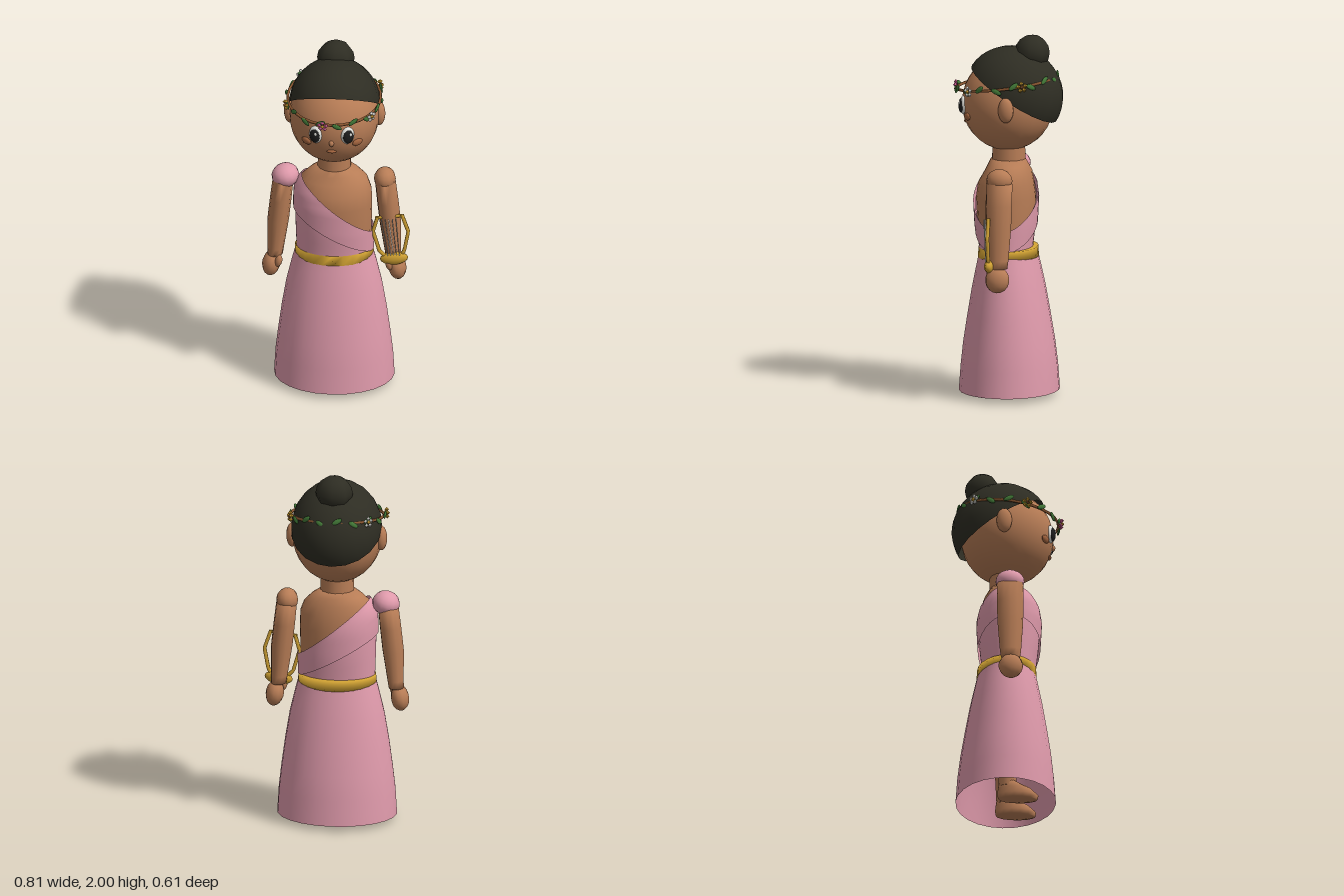
import * as THREE from 'three';

const mat = (name, color, side = THREE.FrontSide) => {
  const m = new THREE.MeshStandardMaterial({ color, side });
  m.name = name;
  return m;
};
const skin = mat('skin', 0xb87d56);
const hair = mat('hair', 0x2e2d23, THREE.DoubleSide);
const cloth = mat('rose cloth', 0xdf9aab, THREE.DoubleSide);
const gold = mat('gold', 0xd1a233);
const leafGreen = mat('leaf green', 0x437a38);
const vine = mat('vine brown', 0x8a5630);
const white = mat('white', 0xe6e6e0);
const petalPink = mat('petal pink', 0xd8609a);
const blush = mat('blush', 0xa4653f);
const pupil = mat('pupil black', 0x1d1d1d);

function add(parent, name, geometry, material, pos = [0, 0, 0], scale = [1, 1, 1], rot = [0, 0, 0]) {
  const m = new THREE.Mesh(geometry, material);
  m.name = name;
  m.position.set(...pos);
  m.scale.set(...scale);
  m.rotation.set(...rot);
  parent.add(m);
  return m;
}
const ball = (parent, name, material, pos, scale, rot, w = 14, h = 10) =>
  add(parent, name, new THREE.SphereGeometry(1, w, h), material, pos, scale, rot);

// Closed loops of points, joined from bottom to top
function grid(rows, seg, point, capped = false) {
  const pos = [], idx = [];
  for (let i = 0; i < rows; i++)
    for (let j = 0; j < seg; j++) pos.push(...point(i, (j / seg) * Math.PI * 2));
  for (let i = 0; i < rows - 1; i++)
    for (let j = 0; j < seg; j++) {
      const a = i * seg + j, b = i * seg + ((j + 1) % seg);
      idx.push(a, b, b + seg, a, b + seg, a + seg);
    }
  if (capped) {
    const top = (rows - 1) * seg;
    for (let j = 1; j < seg - 1; j++) idx.push(0, j + 1, j, top, top + j, top + j + 1);
  }
  const g = new THREE.BufferGeometry();
  g.setAttribute('position', new THREE.Float32BufferAttribute(pos, 3));
  g.setIndex(idx);
  g.computeVertexNormals();
  return g;
}

// Rings are [x, y, z, rx, rz]
const loft = (rings, seg, capped) => grid(rings.length, seg, (i, a) => {
  const [x, y, z, rx, rz] = rings[i];
  return [x + rx * Math.sin(a), y, z + rz * Math.cos(a)];
}, capped);

// Torso rows are [y, rx, rz]
const torsoRows = [[0.78, 0.2, 0.138], [0.82, 0.2, 0.14], [0.95, 0.205, 0.155], [1.1, 0.208, 0.163],
  [1.18, 0.205, 0.152], [1.24, 0.182, 0.13], [1.28, 0.14, 0.11], [1.31, 0.092, 0.095]];

function torsoRadius(y) {
  const n = torsoRows.length;
  if (y <= torsoRows[0][0]) return torsoRows[0].slice(1);
  for (let i = 1; i < n; i++) {
    const p = torsoRows[i - 1], q = torsoRows[i];
    if (y <= q[0]) {
      const t = (y - p[0]) / (q[0] - p[0]);
      return [p[1] + t * (q[1] - p[1]), p[2] + t * (q[2] - p[2])];
    }
  }
  return torsoRows[n - 1].slice(1);
}

// Cloth over the torso between two slanted planes, each [height at middle, slope]
function wrap(offset, low, high) {
  const cut = ([h, m], a) => {
    let y = h;
    for (let k = 0; k < 14; k++) y += 0.5 * (h - m * (torsoRadius(y)[0] + offset) * Math.sin(a) - y);
    return Math.max(y, 0.81);
  };
  return grid(9, 36, (i, a) => {
    const lo = cut(low, a), y = lo + (cut(high, a) - lo) * (i / 8);
    const [rx, rz] = torsoRadius(y);
    return [(rx + offset) * Math.sin(a), y, (rz + offset) * Math.cos(a)];
  });
}

function rod(parent, name, material, points, r) {
  const path = new THREE.CurvePath();
  const v = points.map(p => new THREE.Vector3(...p));
  for (let i = 1; i < v.length; i++) path.add(new THREE.LineCurve3(v[i - 1], v[i]));
  add(parent, name, new THREE.TubeGeometry(path, (v.length - 1) * 6, r, 6), material);
}

function buildHead(g) {
  ball(g, 'head', skin, [0, 1.62, -0.01], [0.245, 0.262, 0.253], undefined, 24, 18);
  add(g, 'hairCap', new THREE.SphereGeometry(1, 20, 10, 0, Math.PI * 2, 0, Math.PI / 2), hair,
    [0, 1.67, -0.043], [0.25, 0.258, 0.277], [-0.57, 0, 0]);
  ball(g, 'hairBun', hair, [0, 1.903, -0.145], [0.103, 0.097, 0.097], undefined, 8, 8);
  for (const s of [-1, 1]) {
    ball(g, 'ear', skin, [s * 0.245, 1.62, -0.04], [0.033, 0.07, 0.043]);
    // Eye, turned to follow the face
    const eye = new THREE.Group();
    eye.name = 'eye';
    eye.position.set(s * 0.088, 1.615, 0.222);
    eye.rotation.y = s * 0.36;
    g.add(eye);
    ball(eye, 'eyeWhite', white, [0, 0, 0], [0.038, 0.051, 0.02]);
    ball(eye, 'pupil', pupil, [0, -0.003, 0.01], [0.03, 0.041, 0.017]);
    ball(eye, 'eyeGlint', white, [0.01, 0.014, 0.024], [0.008, 0.01, 0.004], undefined, 8, 6);
    ball(g, 'cheek', blush, [s * 0.14, 1.56, 0.192], [0.032, 0.021, 0.012], [0.2, s * 0.62, 0]);
  }
  ball(g, 'nose', skin, [0, 1.57, 0.24], [0.014, 0.018, 0.014], undefined, 10, 8);
  ball(g, 'mouth', blush, [0, 1.512, 0.22], [0.027, 0.01, 0.012], undefined, 10, 8);
}

function buildWreath(g) {
  const wreath = new THREE.Group();
  wreath.name = 'wreath';
  wreath.position.set(0, 1.735, -0.003);
  wreath.rotation.x = 0.13;
  g.add(wreath);
  add(wreath, 'vineRing', new THREE.TorusGeometry(0.268, 0.008, 6, 28), vine,
    undefined, [0.95, 1.03, 1], [Math.PI / 2, 0, 0]);
  const spot = (name, a, r) => {
    const p = new THREE.Group();
    p.name = name;
    p.position.set(r * 0.95 * Math.sin(a), 0, r * Math.cos(a) * 1.02);
    p.rotation.y = a;
    wreath.add(p);
    return p;
  };
  for (let i = 0; i < 18; i++) {
    const s = i % 2 ? 1 : -1;
    ball(spot('leaf', ((i + 0.35) / 18) * Math.PI * 2, 0.277), 'leafBlade', leafGreen,
      [0, s * 0.009, 0], [0.031, 0.014, 0.007], [0, 0, s * 0.55], 8, 6);
  }
  const flowers = [[-0.17, petalPink], [0.91, white], [2.02, gold], [-2.34, white], [-1.26, gold]];
  const bud = new THREE.OctahedronGeometry(0.013);
  for (const [a, petal] of flowers) {
    const f = spot('flower', a, 0.287);
    add(f, 'flowerCentre', bud, petal === gold ? vine : gold, [0, 0, 0.004]);
    for (let k = 0; k < 5; k++) {
      const t = (k / 5) * Math.PI * 2 + Math.PI / 2;
      add(f, 'petal', bud, petal, [0.02 * Math.cos(t), 0.02 * Math.sin(t), 0]);
    }
  }
}

function buildBody(g) {
  add(g, 'neck', new THREE.CylinderGeometry(0.09, 0.093, 0.12, 14), skin, [0, 1.35, -0.015]);
  add(g, 'torso', loft(torsoRows.map(([y, rx, rz]) => [0, y, y > 1.2 ? -0.012 : 0, rx, rz]), 24, true), skin);
  // One-shouldered bodice with a sash folded over it
  add(g, 'bodice', wrap(0.006, [0.8, 0], [1.09, 0.8]), cloth);
  add(g, 'sash', wrap(0.017, [0.935, 0.57], [1.115, 0.82]), cloth);
  add(g, 'skirt', loft([[0, 0.03, -0.018, 0.33, 0.275], [0, 0.17, -0.018, 0.322, 0.265],
    [0, 0.3, -0.017, 0.307, 0.25], [0, 0.45, -0.016, 0.287, 0.226], [0, 0.6, -0.015, 0.262, 0.2],
    [0, 0.72, -0.014, 0.234, 0.175], [0, 0.82, -0.013, 0.208, 0.153]], 24), cloth);
  add(g, 'belt', loft([[0, 0.768, -0.013, 0.218, 0.165], [0, 0.825, -0.013, 0.214, 0.162]], 24, true), gold);

  for (const s of [-1, 1]) {
    add(g, 'arm', loft([[s * 0.324, 0.755, -0.01, 0.042, 0.052], [s * 0.32, 0.8, -0.01, 0.045, 0.058],
      [s * 0.307, 0.97, -0.01, 0.059, 0.07], [s * 0.293, 1.1, -0.01, 0.059, 0.073],
      [s * 0.28, 1.22, -0.01, 0.057, 0.073]], 12, true), skin);
    ball(g, 'shoulder', skin, [s * 0.277, 1.235, -0.01], [0.06, 0.064, 0.073], undefined, 12, 8);
    ball(g, 'hand', skin, [s * 0.345, 0.695, -0.01], [0.05, 0.072, 0.067], [0, 0, s * 0.15], 12, 9);
    ball(g, 'thumb', skin, [s * 0.302, 0.73, 0.035], [0.02, 0.036, 0.022], [0, 0, s * 0.2], 10, 8);
    // Leg and flat-soled foot
    add(g, 'leg', new THREE.CylinderGeometry(0.075, 0.048, 0.6, 12), skin, [s * 0.11, 0.37, -0.015]);
    add(g, 'foot', loft([[s * 0.11, 0, 0.042, 0.05, 0.108], [s * 0.11, 0.025, 0.042, 0.057, 0.113],
      [s * 0.11, 0.06, 0.025, 0.052, 0.092], [s * 0.11, 0.1, -0.012, 0.045, 0.05]], 14, true), skin);
  }
  ball(g, 'shoulderDrape', cloth, [-0.268, 1.238, -0.01], [0.076, 0.066, 0.08], [0, 0, 0.25], 14, 10);
}

function buildLyre(g) {
  const lyre = new THREE.Group();
  lyre.name = 'lyre';
  lyre.position.set(0.012, 0, 0.035);
  g.add(lyre);
  ball(lyre, 'lyreBase', gold, [0.318, 0.768, 0], [0.078, 0.038, 0.028], [0, 0, 0.12], 12, 8);
  rod(lyre, 'lyreHorn', gold, [[0.28, 0.77, 0], [0.238, 0.81, 0], [0.203, 0.93, 0], [0.228, 1.02, 0]], 0.011);
  rod(lyre, 'lyreHorn', gold, [[0.35, 0.77, 0], [0.375, 0.82, 0], [0.396, 0.935, 0], [0.36, 1.04, 0]], 0.011);
  rod(lyre, 'lyreCrossbar', gold, [[0.215, 1.012, 0], [0.365, 1.032, 0]], 0.009);
  for (let i = 0; i < 5; i++)
    rod(lyre, 'lyreString', white,
      [[0.285 + i * 0.016, 0.79, 0.016], [0.25 + i * 0.02, 1.017 + i * 0.003, 0.03]], 0.0025);
}

export function createModel() {
  const model = new THREE.Group();
  model.name = 'figure';
  const g = new THREE.Group();
  g.name = 'body';
  g.position.x = -0.012;
  model.add(g);
  buildHead(g);
  buildWreath(g);
  buildBody(g);
  buildLyre(g);
  return model;
}
